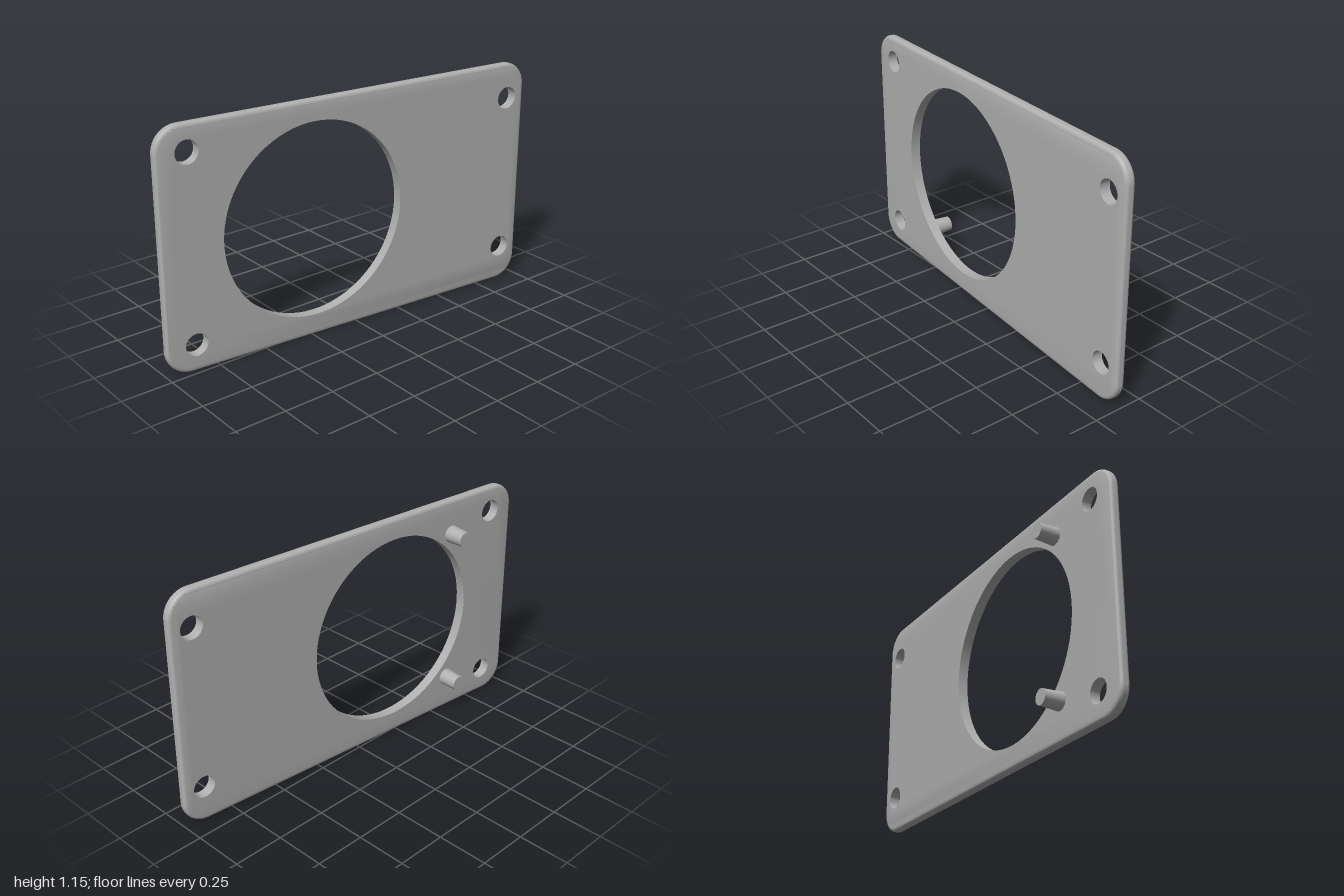
import * as THREE from 'three';
import { toCreasedNormals } from 'three/addons/utils/BufferGeometryUtils.js';

const LENGTH = 2.003, HEIGHT = 1.155, THICK = 0.05, CORNER = 0.12, ROUND = 0.018;
// holes: position along the plate, height, radius
const HOLES = [
  [-0.225, 0.58, 0.475],
  [-0.855, 1.03, 0.055], [-0.855, 0.13, 0.055],
  [0.895, 0.98, 0.055], [0.895, 0.18, 0.055],
];

function plateGeometry() {
  const a = LENGTH / 2, r = CORNER, h = HEIGHT;
  const shape = new THREE.Shape();
  shape.absarc(a - r, r, r, -Math.PI / 2, 0);
  shape.absarc(a - r, h - r, r, 0, Math.PI / 2);
  shape.absarc(-a + r, h - r, r, Math.PI / 2, Math.PI);
  shape.absarc(-a + r, r, r, Math.PI, Math.PI * 1.5);
  shape.closePath();
  for (const [x, y, radius] of HOLES) {
    shape.holes.push(new THREE.Path().absarc(x, y, radius, 0, Math.PI * 2, true));
  }
  const depth = THICK - 2 * ROUND;
  const geo = new THREE.ExtrudeGeometry(shape, {
    depth, curveSegments: 40, bevelEnabled: true, bevelThickness: ROUND,
    bevelSize: ROUND, bevelOffset: -ROUND, bevelSegments: 5,
  });
  geo.translate(0, 0, -depth / 2);
  // keep the hole walls straight: only the outer rim stays rounded
  const p = geo.attributes.position;
  for (let i = 0; i < p.count; i++) {
    for (const [x, y, radius] of HOLES) {
      const dx = p.getX(i) - x, dy = p.getY(i) - y, d = Math.hypot(dx, dy);
      if (d < radius + ROUND + 0.004) {
        p.setXY(i, x + dx * radius / d, y + dy * radius / d);
        break;
      }
    }
  }
  return toCreasedNormals(geo, 0.6);
}

export function createModel() {
  const grey = new THREE.MeshStandardMaterial({ color: 0xb0b0b0 });
  grey.name = 'grey';

  const model = new THREE.Group();
  model.name = 'mountingPlate';

  // slightly turned assembly: its local +z is the outer face
  const assembly = new THREE.Group();
  assembly.name = 'plateAssembly';
  assembly.rotation.y = Math.PI / 2 - 0.086;
  assembly.position.x = 0.031;
  model.add(assembly);

  const plate = new THREE.Mesh(plateGeometry(), grey);
  plate.name = 'plate';
  assembly.add(plate);

  // two tapered pegs on the inner face
  const pegLength = 0.108;
  const pegGeo = new THREE.CylinderGeometry(0.043, 0.037, pegLength, 40);
  pegGeo.rotateX(Math.PI / 2);
  for (const [name, y] of [['upperPeg', 0.98], ['lowerPeg', 0.18]]) {
    const peg = new THREE.Mesh(pegGeo, grey);
    peg.name = name;
    peg.position.set(-0.592, y, -0.015 - pegLength / 2);
    assembly.add(peg);
  }
  return model;
}
